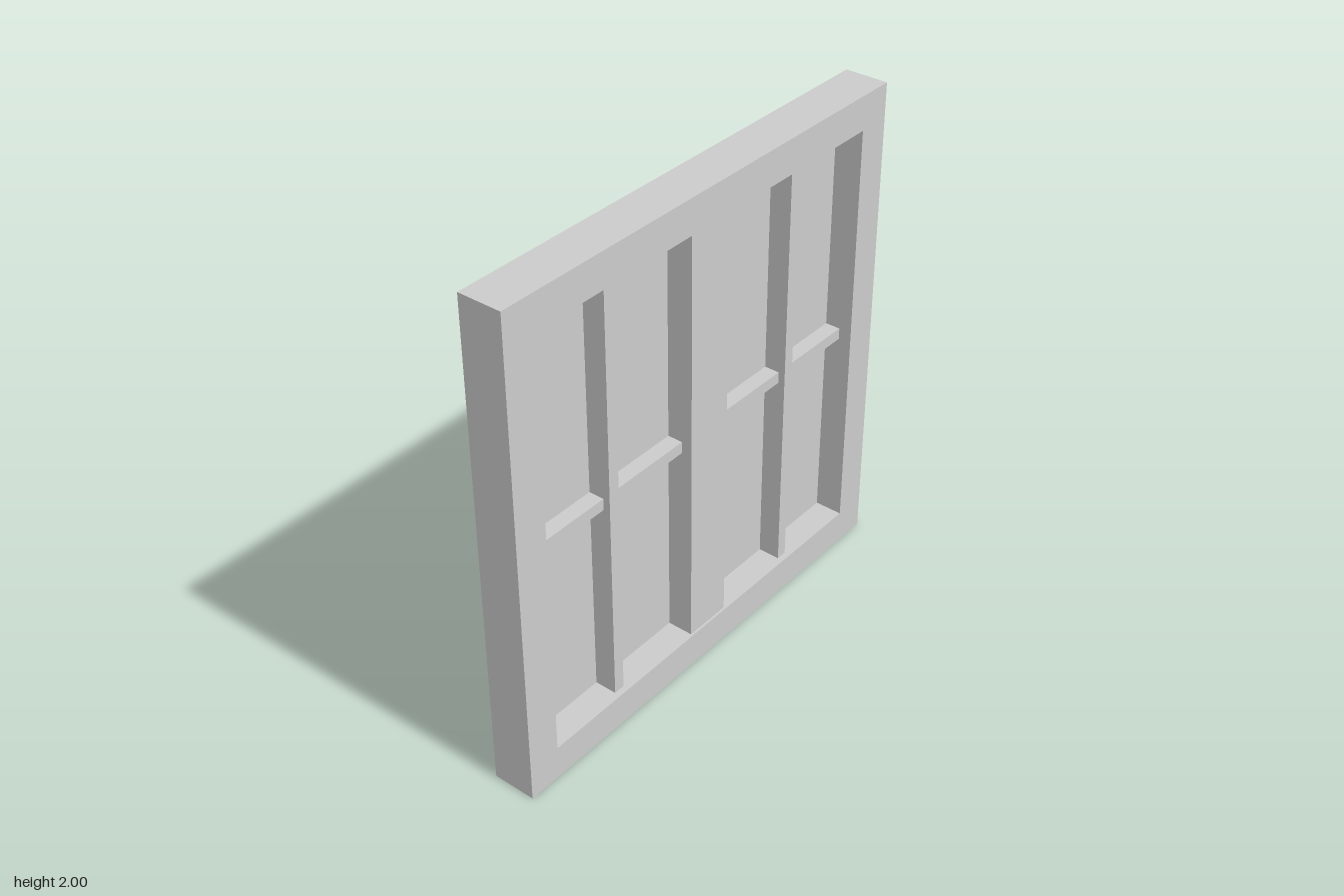
import * as THREE from 'three';
import { mergeGeometries } from 'three/addons/utils/BufferGeometryUtils.js';

const material = new THREE.MeshStandardMaterial({ color: 0xcccccc, side: THREE.DoubleSide });

// Flat four-cornered sheet, corners counter-clockwise as seen from its front
function sheet(a, b, c, d) {
  const g = new THREE.BufferGeometry();
  g.setAttribute('position', new THREE.Float32BufferAttribute([a, b, c, a, c, d].flat(), 3));
  g.computeVertexNormals();
  return g;
}

// Four walls round a rectangle, open at front and back
function walls(x, y0, y1, front, back, inward) {
  const corners = [[-x, y0], [x, y0], [x, y1], [-x, y1]];
  if (inward) corners.reverse();
  return mergeGeometries(corners.map((p, i) => {
    const q = corners[(i + 1) % 4];
    return sheet([...p, front], [...p, back], [...q, back], [...q, front]);
  }));
}

// Upright channel: front strip and two side sheets, open at the back
function uprightBar(x0, x1, front, back) {
  const y0 = 0.05, y1 = 1.96;
  return mergeGeometries([
    sheet([x0, y0, front], [x1, y0, front], [x1, y1, front], [x0, y1, front]),
    sheet([x1, y0, front], [x1, y0, back], [x1, y1, back], [x1, y1, front]),
    sheet([x0, y0, back], [x0, y0, front], [x0, y1, front], [x0, y1, back]),
  ]);
}

// Level channel whose top and bottom sheets deepen toward +x
function crossBar(y0, y1, front, backMin, backMax) {
  const x0 = -0.96, x1 = 0.95;
  return mergeGeometries([
    sheet([x0, y0, front], [x1, y0, front], [x1, y1, front], [x0, y1, front]),
    sheet([x0, y1, front], [x1, y1, front], [x1, y1, backMax], [x0, y1, backMin]),
    sheet([x0, y0, backMin], [x1, y0, backMax], [x1, y0, front], [x0, y0, front]),
  ]);
}

export function createModel() {
  const model = new THREE.Group();
  const add = (name, geometry) => {
    const mesh = new THREE.Mesh(geometry, material);
    mesh.name = name;
    model.add(mesh);
    return mesh;
  };
  const front = 0.125, glassZ = 0.01, open = 0.862, low = 0.138, high = 1.862;

  // Frame: front face with opening, outer walls and inner reveal
  const face = new THREE.Shape([[-1, 0], [1, 0], [1, 2], [-1, 2]].map(p => new THREE.Vector2(...p)));
  face.holes.push(new THREE.Path(
    [[-open, low], [-open, high], [open, high], [open, low]].map(p => new THREE.Vector2(...p))));
  add('frameFace', new THREE.ShapeGeometry(face)).position.z = front;
  add('frameOuterWalls', walls(1, 0, 2, front, -0.05, false));
  add('frameReveal', walls(open, low, high, front, glassZ, true));

  // Glass pane
  add('glassPane', new THREE.PlaneGeometry(open * 2, high - low)).position.set(0, 1, glassZ);

  // Upright and cross bars, passing through the pane
  add('centerMullion', uprightBar(-0.1, 0.1, 0.115, -0.062));
  add('rightGlazingBar', uprightBar(-0.522, -0.475, 0.1, -0.062));
  add('leftGlazingBar', uprightBar(0.47, 0.515, 0.1, -0.062));
  add('crossBar', crossBar(0.963, 1.01, 0.072, -0.063, -0.125));

  return model;
}
